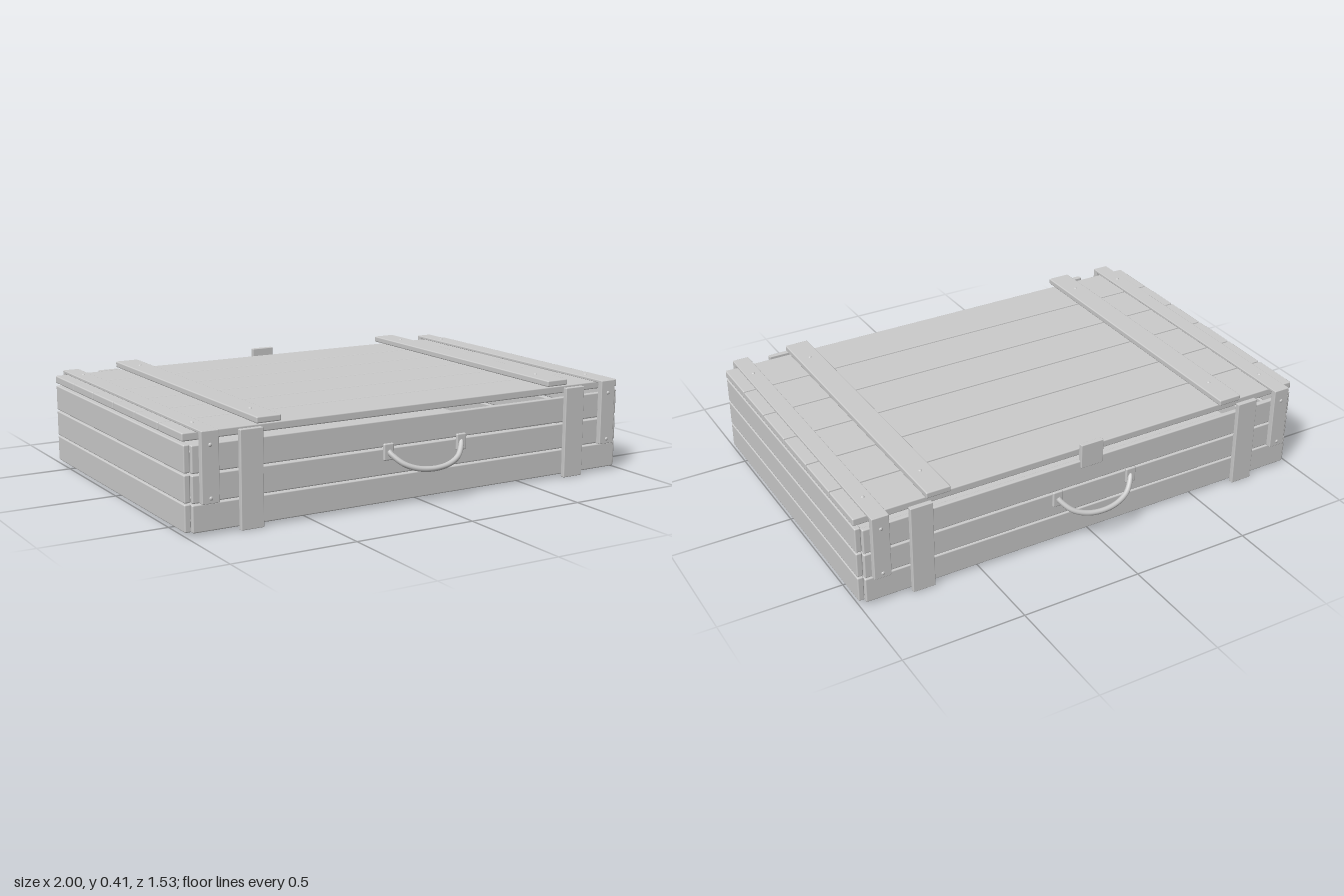
import * as THREE from 'three';
import { RoundedBoxGeometry } from 'three/addons/geometries/RoundedBoxGeometry.js';

const material = new THREE.MeshStandardMaterial({ color: 0xcccccc });

export function createModel() {
  const crate = new THREE.Group();
  crate.name = 'crate';

  const add = (name, geometry, x, y, z, parent = crate) => {
    const mesh = new THREE.Mesh(geometry, material);
    mesh.name = name;
    mesh.position.set(x, y, z);
    parent.add(mesh);
    return mesh;
  };

  // Softly rounded board given by its extents on each axis
  const board = (name, [x0, x1], [y0, y1], [z0, z1], r = 0.005) =>
    add(name, new RoundedBoxGeometry(x1 - x0, y1 - y0, z1 - z0, 2, r),
      (x0 + x1) / 2, (y0 + y1) / 2, (z0 + z1) / 2);

  // Range from a to b, mirrored when s is -1
  const span = (s, a, b) => (s > 0 ? [a, b] : [-b, -a]);

  const boltGeometry = new THREE.SphereGeometry(0.008, 12, 6, 0, Math.PI * 2, 0, Math.PI / 2);
  boltGeometry.scale(1, 0.7, 1);
  const bolt = (x, y, z, side = 0) => {
    add('bolt', boltGeometry, x, y, z).rotation.x = side * Math.PI / 2;
  };

  // Floor, set in from the bottom edge
  add('floor', new THREE.BoxGeometry(1.95, 0.012, 1.28), 0, 0.025, 0);

  // Wall planks, three rows on every side
  for (const y of [0.012, 0.121, 0.231]) {
    const rows = [y, y + 0.104];
    for (const s of [1, -1]) {
      board('sidePlank', [-0.975, 0.975], rows, span(s, 0.636, 0.657));
      board('endPlank', span(s, 0.972, 0.997), rows, [-0.637, 0.637]);
    }
  }

  // Lid planks
  const pitch = 1.272 / 6;
  for (let i = 0; i < 6; i++) {
    const z = -0.636 + i * pitch;
    board('lidPlank', [-1, 1], [0.347, 0.378], [z + 0.003, z + pitch - 0.003]);
  }

  for (const s of [1, -1]) {
    // Wide battens and thin edge strips across the lid
    board('lidBatten', span(s, 0.614, 0.715), [0.385, 0.41], [-0.658, 0.658]);
    board('edgeStrip', span(s, 0.878, 0.948), [0.377, 0.389], [-0.681, 0.681], 0.003);
    for (const t of [1, -1]) {
      bolt(s * 0.665, 0.409, t * 0.51);
      bolt(s * 0.913, 0.388, t * 0.533);

      // Edge strip folded down over the long wall
      board('cornerStrap', span(s, 0.878, 0.948), [0.12, 0.388], span(t, 0.657, 0.682), 0.003);
      for (const y of [0.14, 0.336]) bolt(s * 0.913, y, t * 0.681, t);

      // Upright cleat on the long wall
      board('wallCleat', span(s, 0.697, 0.79), [0, 0.375], span(t, 0.655, 0.676), 0.003);
    }
  }

  // Clasp plate at the middle of the back
  board('claspPlate', [-0.05, 0.05], [0.305, 0.408], [-0.665, -0.644], 0.003);

  // Drooping carry handle on the front, turned round for the back
  const curve = new THREE.CatmullRomCurve3([
    [-0.168, 0.222, 0.685], [-0.16, 0.208, 0.697], [-0.125, 0.175, 0.727], [-0.07, 0.154, 0.745],
    [0, 0.147, 0.752],
    [0.07, 0.154, 0.745], [0.125, 0.175, 0.727], [0.16, 0.208, 0.697], [0.168, 0.222, 0.685],
  ].map((p) => new THREE.Vector3(...p)));
  const grip = new THREE.TubeGeometry(curve, 48, 0.011, 12);
  const bracket = new RoundedBoxGeometry(0.044, 0.066, 0.014, 2, 0.005);
  for (const turn of [0, Math.PI]) {
    const handle = new THREE.Group();
    handle.name = turn ? 'backHandle' : 'frontHandle';
    handle.rotation.y = turn;
    add('grip', grip, 0, 0, 0, handle);
    for (const s of [1, -1]) add('handleBracket', bracket, s * 0.168, 0.219, 0.684, handle);
    crate.add(handle);
  }

  return crate;
}
